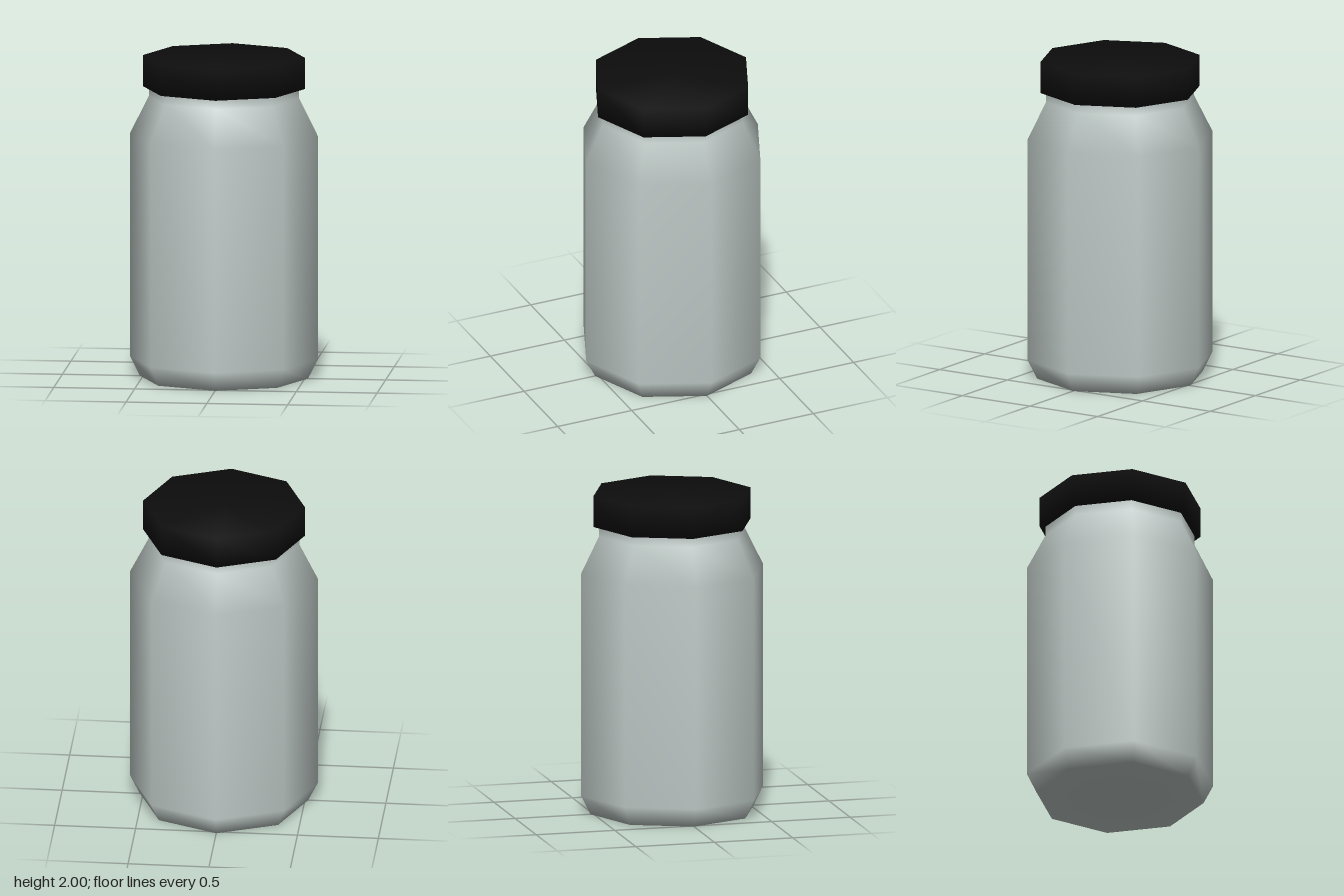
import * as THREE from 'three';

const SIDES = 8;

// Smooth-shaded octagonal solid from a bottom-to-top profile of [radius, height]
function turned(name, profile, material) {
  const points = profile.map(([r, y]) => new THREE.Vector2(r, y));
  const mesh = new THREE.Mesh(new THREE.LatheGeometry(points, SIDES), material);
  mesh.name = name;
  return mesh;
}

export function createModel() {
  const glass = new THREE.MeshStandardMaterial({ color: 0xbec9c6 });
  glass.name = 'pale grey glass';
  const black = new THREE.MeshStandardMaterial({ color: 0x0d0d0d });
  black.name = 'black lid';

  const jar = new THREE.Group();
  jar.name = 'jar';

  // Body: chamfered base, straight wall, sloped shoulder, short neck
  jar.add(turned('body', [
    [0, 0], [0.52, 0], [0.58, 0.12], [0.58, 1.515], [0.465, 1.745], [0.465, 1.81],
  ], glass));

  // Flat screw lid overhanging the neck
  jar.add(turned('lid', [[0, 1.805], [0.5, 1.805], [0.5, 2], [0, 2]], black));

  return jar;
}
